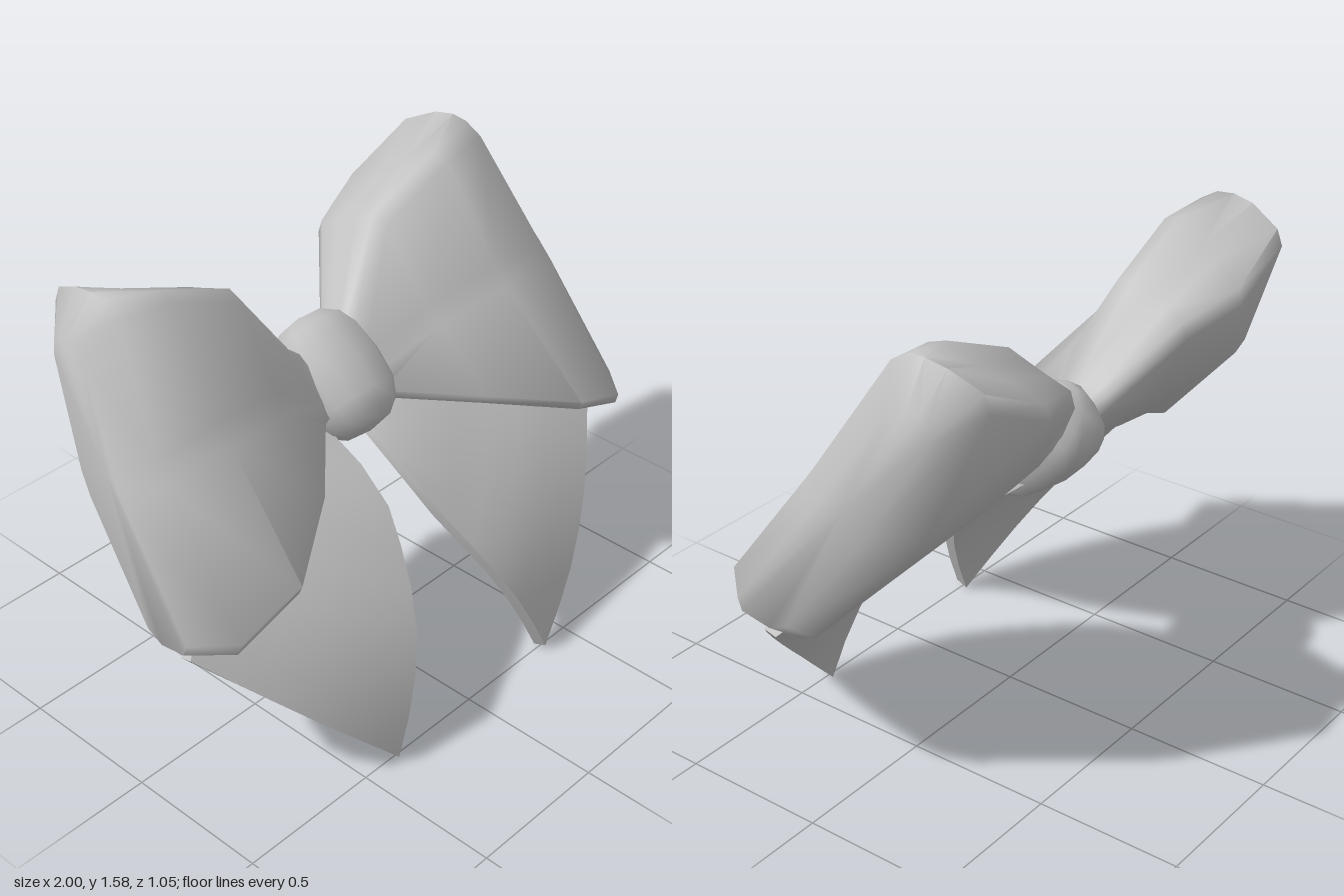
import * as THREE from 'three';
import { mergeVertices, toCreasedNormals } from 'three/addons/utils/BufferGeometryUtils.js';

const V = (p) => new THREE.Vector3(...p);

// Cuts every corner of a closed ring, leaving a narrow bevel of even width
function bevelRing(points, width) {
  const out = [];
  const toward = (p, q) => p.clone().lerp(q, Math.min(0.3, width / p.distanceTo(q)));
  points.forEach((p, i) => {
    const prev = points[(i + points.length - 1) % points.length];
    const next = points[(i + 1) % points.length];
    out.push(toward(p, prev), toward(p, next));
  });
  return out;
}

// Skins a list of closed rings, caps both ends and turns the faces outward
function loft(rings, side, crease) {
  const n = rings[0].length;
  const pos = [];
  const index = [];
  rings.forEach((r) => r.forEach((p) => pos.push(p.x * side, p.y, p.z)));
  for (let j = 0; j < rings.length - 1; j++) {
    for (let i = 0; i < n; i++) {
      const a = j * n + i, b = j * n + (i + 1) % n;
      index.push(a, b, b + n, a, b + n, a + n);
    }
  }
  [0, rings.length - 1].forEach((j) => {
    const c = new THREE.Vector3();
    rings[j].forEach((p) => c.addScaledVector(p, 1 / n));
    const centre = pos.length / 3;
    pos.push(c.x * side, c.y, c.z);
    for (let i = 0; i < n; i++) {
      const a = j * n + i, b = j * n + (i + 1) % n;
      if (j === 0) index.push(centre, b, a);
      else index.push(centre, a, b);
    }
  });
  // A negative enclosed volume means the faces point inward
  const at = (i) => new THREE.Vector3().fromArray(pos, i * 3);
  let volume = 0;
  for (let i = 0; i < index.length; i += 3) {
    volume += at(index[i]).dot(at(index[i + 1]).cross(at(index[i + 2])));
  }
  if (volume < 0) index.reverse();
  const g = new THREE.BufferGeometry();
  g.setAttribute('position', new THREE.Float32BufferAttribute(pos, 3));
  g.setIndex(index);
  return toCreasedNormals(g, crease);
}

// Loop sections: front top, mid top, back top, back middle, back bottom, front bottom, front middle
const loopSections = [
  [[0.06, 1.09, -0.14], [0.06, 1.08, -0.2], [0.06, 1.06, -0.27], [0.06, 1.0, -0.26], [0.06, 0.92, -0.2], [0.06, 0.9, -0.04], [0.06, 1.0, -0.08]],
  [[0.13, 1.15, -0.16], [0.13, 1.13, -0.23], [0.13, 1.1, -0.31], [0.13, 1.0, -0.26], [0.13, 0.91, -0.18], [0.13, 0.9, 0], [0.13, 1.02, -0.07]],
  [[0.32, 1.44, -0.2], [0.31, 1.38, -0.34], [0.29, 1.32, -0.48], [0.35, 1.02, -0.31], [0.38, 0.84, -0.14], [0.38, 0.87, 0.24], [0.35, 1.13, 0]],
  [[0.6, 1.56, -0.19], [0.56, 1.47, -0.37], [0.5, 1.38, -0.545], [0.58, 1.02, -0.34], [0.65, 0.76, -0.07], [0.66, 0.79, 0.42], [0.62, 1.18, 0.05]],
  [[0.78, 1.58, -0.21], [0.79, 1.59, -0.35], [0.75, 1.5, -0.53], [0.86, 1.02, -0.33], [0.94, 0.61, 0.04], [0.89, 0.7, 0.4], [0.87, 1.16, 0.05]],
  [[0.88, 1.46, -0.27], [0.88, 1.47, -0.34], [0.87, 1.42, -0.41], [0.95, 1.05, -0.21], [0.99, 0.65, 0.1], [1.0, 0.69, 0.28], [0.97, 1.1, -0.03]],
];

function loopGeometry(side) {
  return loft(loopSections.map((s) => bevelRing(s.map(V), 0.04)), side, 1.3);
}

// Tail: a curved sheet between an inner and an outer edge, fuller in the middle
function tailGeometry(side) {
  const inner = new THREE.CatmullRomCurve3([
    [0.07, 0.88, -0.1], [0.066, 0.73, 0.16], [0.11, 0.58, 0.295],
    [0.19, 0.41, 0.43], [0.28, 0.22, 0.5], [0.37, 0.025, 0.525],
  ].map(V));
  const outer = new THREE.CatmullRomCurve3([
    [0.13, 0.91, -0.15], [0.4, 0.87, -0.08], [0.63, 0.79, 0.01],
    [0.81, 0.71, 0.11], [0.945, 0.605, 0.21],
  ].map(V));
  const steps = 8, across = 6;
  const rings = [];
  for (let j = 0; j <= steps; j++) {
    const t = j / steps;
    const a = inner.getPoint(t), b = outer.getPoint(t);
    const front = [], back = [];
    for (let i = 0; i <= across; i++) {
      const s = i / across;
      const swell = Math.sin(Math.PI * s);
      const p = a.clone().lerp(b, s);
      p.z += 0.055 * swell * t;
      front.push(p);
      back.unshift(p.clone().add(V([-0.004, -0.016, -0.045 - 0.025 * swell])));
    }
    rings.push([...front, ...back]);
  }
  return loft(rings, side, 0.9);
}

// Knot: a sphere squared off toward a soft block
function knotGeometry() {
  let g = new THREE.SphereGeometry(1, 12, 8);
  const p = g.attributes.position;
  const square = (v) => Math.sign(v) * Math.abs(v) ** 0.75;
  for (let i = 0; i < p.count; i++) {
    p.setXYZ(i, square(p.getX(i)) * 0.156, square(p.getY(i)) * 0.215, square(p.getZ(i)) * 0.155);
  }
  g.deleteAttribute('uv');
  g.deleteAttribute('normal');
  g = mergeVertices(g, 1e-4);
  g.computeVertexNormals();
  return g;
}

export function createModel() {
  const group = new THREE.Group();
  group.name = 'bow';
  const ribbon = new THREE.MeshStandardMaterial({ color: 0xc0c0c0 });
  ribbon.name = 'ribbonGrey';

  const add = (name, geometry) => {
    const mesh = new THREE.Mesh(geometry, ribbon);
    mesh.name = name;
    group.add(mesh);
    return mesh;
  };

  // Mirrored loops and tails
  [[1, 'left'], [-1, 'right']].forEach(([side, label]) => {
    add(label + 'Loop', loopGeometry(side));
    add(label + 'Tail', tailGeometry(side));
  });

  // Central knot, slightly off centre and leaning back with the loops
  const knot = add('knot', knotGeometry());
  knot.position.set(0.04, 0.985, -0.145);
  knot.rotation.x = -0.85;

  return group;
}
